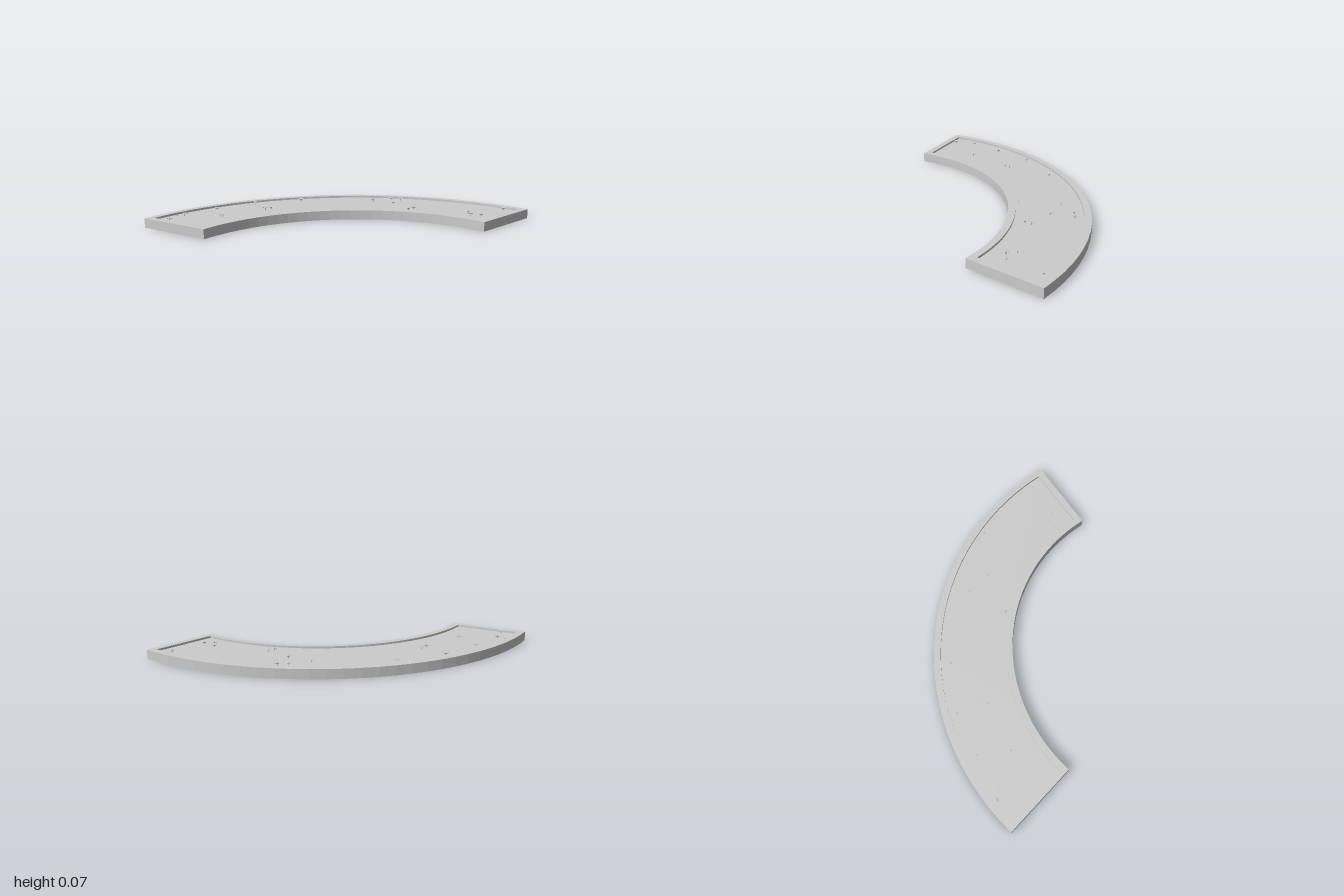
import * as THREE from 'three';

const CX = -0.65, CZ = 0.825;          // centre of the curve
const R_IN = 1.13, R_OUT = 1.65;       // inner and outer radius
const SWEEP = THREE.MathUtils.degToRad(102.2);
const HEIGHT = 0.063, FLOOR = 0.05, RIM = 0.045, SEGMENTS = 28;

// Outline of the curved strip, pulled in by inset on all four sides
function stripOutline(inset) {
  const points = [];
  const arc = (radius, reverse) => {
    const end = Math.asin(inset / radius);
    for (let i = 0; i <= SEGMENTS; i++) {
      const t = (reverse ? SEGMENTS - i : i) / SEGMENTS;
      const a = THREE.MathUtils.lerp(end, SWEEP - end, t);
      points.push(new THREE.Vector2(CX + radius * Math.cos(a), -CZ + radius * Math.sin(a)));
    }
  };
  arc(R_OUT - inset, false);
  arc(R_IN + inset, true);
  return points;
}

function extrudeUp(shape, depth) {
  return new THREE.ExtrudeGeometry(shape, { depth, bevelEnabled: false }).rotateX(-Math.PI / 2);
}

export function createModel() {
  const model = new THREE.Group();
  model.name = 'curvedPond';
  const grey = new THREE.MeshStandardMaterial({ color: 0xcccccc });
  grey.name = 'plainGrey';

  const add = (parent, name, geometry, x = 0, y = 0, z = 0) => {
    const mesh = new THREE.Mesh(geometry, grey);
    mesh.name = name;
    mesh.position.set(x, y, z);
    parent.add(mesh);
    return mesh;
  };

  // Raised border and the sunken floor inside it
  const border = new THREE.Shape(stripOutline(0));
  border.holes.push(new THREE.Path(stripOutline(RIM)));
  add(model, 'border', extrudeUp(border, HEIGHT));
  add(model, 'floor', extrudeUp(new THREE.Shape(stripOutline(RIM)), FLOOR));

  // Small flowers: stem, flat head and raised centre
  const stem = new THREE.CylinderGeometry(0.003, 0.003, 0.016, 5);
  const head = new THREE.CylinderGeometry(0.019, 0.013, 0.004, 7);
  const centre = new THREE.CylinderGeometry(0.003, 0.005, 0.004, 5);
  const flowers = [
    [-0.89, -0.66], [-0.745, -0.71], [-0.49, -0.7], [-0.19, -0.66], [-0.585, -0.51],
    [-0.25, -0.47], [-0.205, -0.465], [0.115, -0.51], [0.475, -0.13], [0.61, -0.07],
    [0.65, -0.015], [0.505, 0.04], [0.445, 0.23], [0.495, 0.235], [0.65, 0.58],
    [0.61, 0.63], [0.65, 0.685], [0.905, 0.69],
  ];
  for (const [x, z] of flowers) {
    const flower = new THREE.Group();
    flower.name = 'flower';
    flower.position.set(x, 0, z);
    add(flower, 'stem', stem, 0, 0.057, 0);
    add(flower, 'flowerHead', head, 0, 0.066, 0);
    add(flower, 'flowerCentre', centre, 0, 0.07, 0);
    model.add(flower);
  }

  // Tiny pebbles lying on the floor: x, z, length, turn
  const pebble = new THREE.SphereGeometry(1, 8, 6);
  for (const [x, z, length, turn] of [
    [-0.78, -0.75, 0.015, 0], [0.215, -0.01, 0.017, -0.8], [0.8, 0.2, 0.005, 0],
  ]) {
    const mesh = add(model, 'pebble', pebble, x, FLOOR, z);
    mesh.scale.set(length, 0.005, 0.005);
    mesh.rotation.y = turn;
  }
  return model;
}
